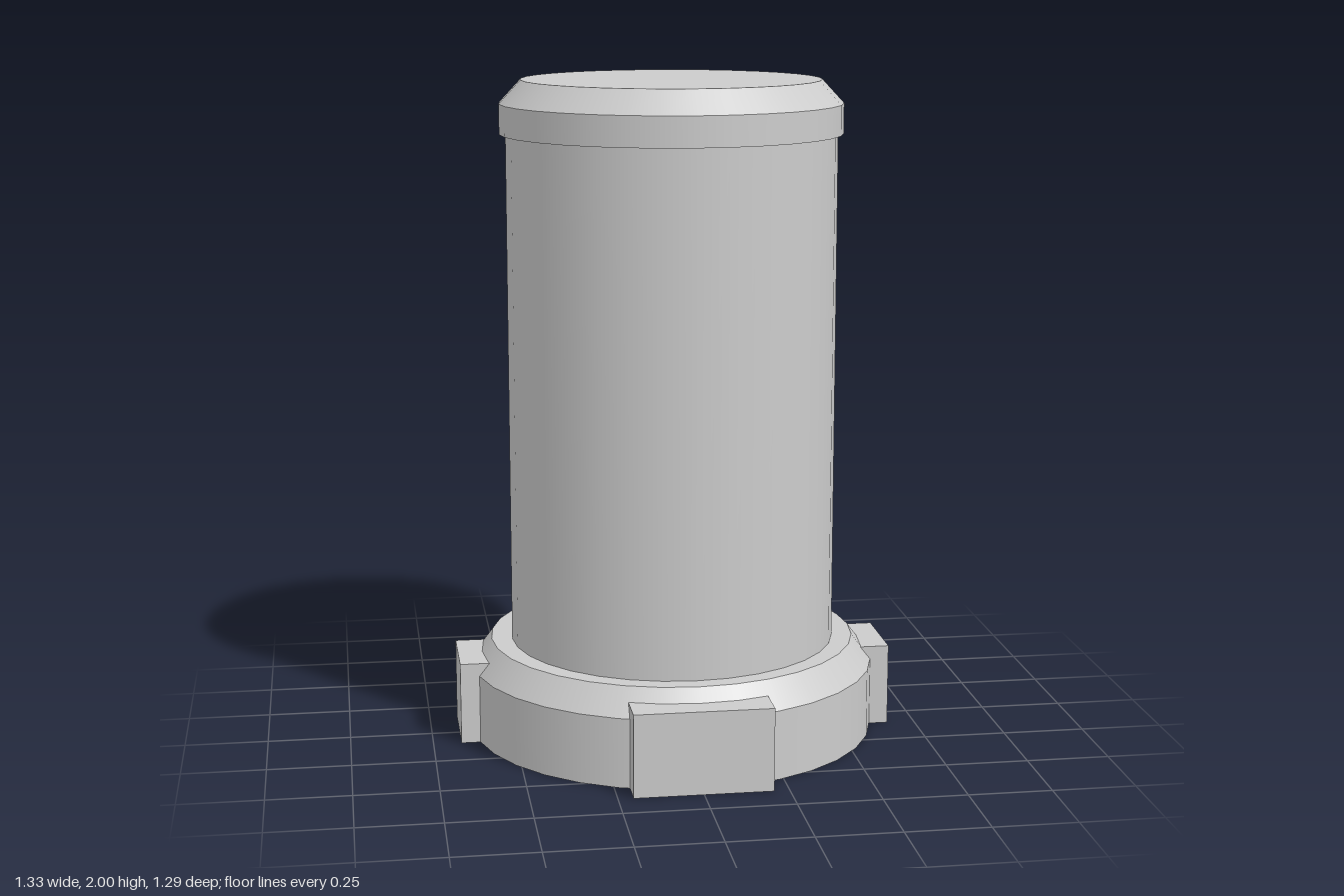
import * as THREE from 'three';

const material = new THREE.MeshStandardMaterial({ color: 0xcccccc, side: THREE.DoubleSide });
const SEGMENTS = 32;
const CENTER_Z = -0.025;

function addMesh(parent, name, geometry) {
  const mesh = new THREE.Mesh(geometry, material);
  mesh.name = name;
  parent.add(mesh);
  return mesh;
}

// Thin cup, open below: straight wall, chamfer and flat top
function makeCup(name, radius, topRadius, bottom, shoulder, top) {
  const cup = new THREE.Group();
  cup.name = name;
  const ring = (part, rTop, rBottom, y0, y1) => {
    const g = new THREE.CylinderGeometry(rTop, rBottom, y1 - y0, SEGMENTS, 1, true);
    addMesh(cup, part, g.translate(0, (y0 + y1) / 2, 0));
  };
  ring(name + 'Wall', radius, radius, bottom, shoulder);
  ring(name + 'Chamfer', topRadius, radius, shoulder, top);
  const disc = new THREE.CircleGeometry(topRadius, SEGMENTS).rotateX(-Math.PI / 2);
  addMesh(cup, name + 'Top', disc.translate(0, top, 0));
  return cup;
}

// Hollow lug facing +z: outer face, top strip and two cheeks reaching into the base
function makeLug(name, width, inner, topInner, outer, height) {
  const lug = new THREE.Group();
  lug.name = name;
  addMesh(lug, name + 'Face', new THREE.PlaneGeometry(width, height).translate(0, height / 2, outer));
  const strip = new THREE.PlaneGeometry(width, outer - topInner).rotateX(-Math.PI / 2);
  addMesh(lug, name + 'Top', strip.translate(0, height, (outer + topInner) / 2));

  const cut = 0.05;
  const profile = new THREE.Shape([
    new THREE.Vector2(inner, 0),
    new THREE.Vector2(outer, 0),
    new THREE.Vector2(outer, height),
    new THREE.Vector2(inner + cut, height),
    new THREE.Vector2(inner, height - cut),
  ]);
  for (const side of [-1, 1]) {
    // Rotation turns the profile's x axis into +z
    const cheek = new THREE.ShapeGeometry(profile).rotateY(-Math.PI / 2);
    addMesh(lug, name + 'Cheek', cheek.translate(side * width / 2, 0, 0));
  }
  return lug;
}

export function createModel() {
  const model = new THREE.Group();
  model.name = 'halfColumn';

  // Base and cap
  const base = makeCup('base', 0.62, 0.56, 0, 0.21, 0.29);
  const cap = makeCup('cap', 0.515, 0.45, 1.84, 1.93, 2);
  for (const part of [base, cap]) {
    part.position.z = CENTER_Z;
    model.add(part);
  }

  // Half-round shell, open at the back
  const shell = new THREE.CylinderGeometry(0.497, 0.497, 1.55, SEGMENTS / 2, 1, true, -Math.PI / 2, Math.PI);
  addMesh(model, 'shell', shell.translate(0, 1.065, -0.018));

  // Front lug and a mirrored pair at the sides
  const frontLug = makeLug('frontLug', 0.41, 0.43, 0.54, 0.665, 0.25);
  frontLug.position.z = CENTER_Z;
  model.add(frontLug);
  for (const side of [-1, 1]) {
    const lug = makeLug(side > 0 ? 'leftLug' : 'rightLug', 0.25, 0.49, 0.565, 0.665, 0.25);
    lug.rotation.y = side * Math.PI / 2;
    lug.position.z = CENTER_Z;
    model.add(lug);
  }
  return model;
}
